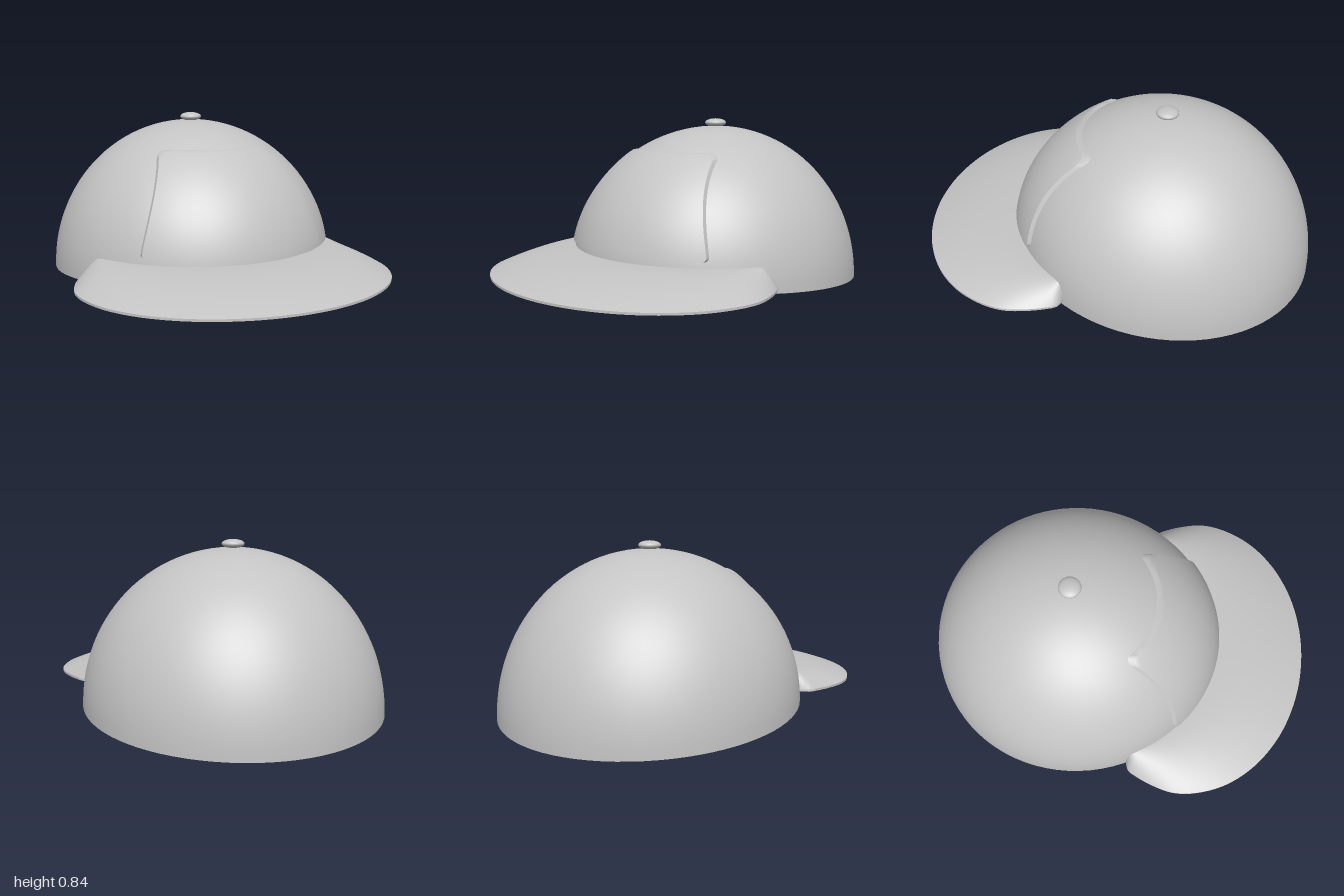
import * as THREE from 'three';
import { toCreasedNormals } from 'three/addons/utils/BufferGeometryUtils.js';

const RX = 0.725, RZ = 0.765, CZ = -0.235, TOP = 0.805;
const rimHeight = (z) => 0.053 + 0.069 * (z - CZ); // opening tilts up to the front

// Skin a surface over rows of points
function loft(sections, closed, crease) {
  const n = sections[0].length, index = [];
  const m = closed ? n : n - 1;
  for (let i = 0; i < sections.length - 1; i++) {
    for (let j = 0; j < m; j++) {
      const k = (j + 1) % n;
      const a = i * n + j, b = i * n + k, c = a + n, d = b + n;
      index.push(a, b, d, a, d, c);
    }
  }
  const geo = new THREE.BufferGeometry().setFromPoints(sections.flat());
  geo.setIndex(index);
  return toCreasedNormals(geo, crease);
}

// Thin-walled dome: unit shell stretched onto the tilted opening
function crownGeometry() {
  const profile = [], steps = 28;
  const arc = (r, k) => new THREE.Vector2(r * Math.cos(k), r * Math.sin(k));
  for (let i = 0; i <= steps; i++) profile.push(arc(0.975, (1 - i / steps) * Math.PI / 2));
  profile.push(new THREE.Vector2(0.988, -0.004));
  for (let i = 0; i <= steps; i++) profile.push(arc(1, (i / steps) * Math.PI / 2));
  profile[0].x = profile[profile.length - 1].x = 0;
  const geo = new THREE.LatheGeometry(profile, 80);
  const p = geo.attributes.position;
  for (let i = 0; i < p.count; i++) {
    const z = CZ + RZ * p.getZ(i), base = rimHeight(z);
    p.setXYZ(i, RX * p.getX(i), Math.max(0, base + (TOP - base) * p.getY(i)), z);
  }
  return toCreasedNormals(geo, 0.6);
}

// Point on the front of the dome, pushed out by a given amount
function onCrown(x, y, out) {
  let z = 0.3;
  for (let i = 0; i < 12; i++) {
    const base = rimHeight(z);
    const s = (y - base) / (TOP + out - base);
    const q = 1 - s * s - (x / (RX + out)) ** 2;
    z = CZ + (RZ + out) * Math.sqrt(Math.max(0, q));
  }
  return new THREE.Vector3(x, y, z);
}

// Raised front panel with rounded corners
function panelGeometry() {
  const y0 = 0.23, y1 = 0.69, rows = 26, cols = 32, sections = [];
  const corner = (d, r) => (d < r ? r - Math.sqrt(r * r - (r - d) ** 2) : 0);
  const row = (t, lift) => {
    const y = y0 + (y1 - y0) * t;
    const w = 0.457 - 0.175 * t ** 1.25 - corner(y - y0, 0.022) - corner(y1 - y, 0.035);
    const pts = [onCrown(-w, y, -0.008)];
    for (let j = 0; j <= cols; j++) pts.push(onCrown(w * (2 * j / cols - 1), y, lift));
    pts.push(onCrown(w, y, -0.008));
    return pts;
  };
  sections.push(row(0, -0.008));
  for (let i = 0; i <= rows; i++) sections.push(row((1 - Math.cos(Math.PI * i / rows)) / 2, 0.014));
  sections.push(row(1, -0.008));
  return loft(sections, false, 0.6);
}

// Crescent visor: flat below, bulging above, thin at the outer edge
function visorGeometry() {
  const half = [[0.64, 0.12], [0.685, 0.135], [0.712, 0.18], [0.747, 0.27], [0.77, 0.38],
    [0.755, 0.5], [0.69, 0.652], [0.57, 0.792], [0.4, 0.904], [0.2, 0.972]];
  const pts = [...half, [0, 0.993], ...half.map(([x, z]) => [-x, z]).reverse()];
  const outer = new THREE.CatmullRomCurve3(pts.map(([x, z]) => new THREE.Vector3(x, 0, z)));
  const segments = 112, steps = 14, start = 0.545, sections = [];
  for (let i = 0; i <= segments; i++) {
    const t = i / segments, a = start + (Math.PI - 2 * start) * t;
    const edge = outer.getPointAt(t);
    const inner = (k) => new THREE.Vector3(RX * k * Math.cos(a), 0, CZ + RZ * k * Math.sin(a));
    const from = inner(0.97), section = [inner(0.988).setY(0.106)];
    for (let j = 0; j <= steps; j++) {
      const s = Math.sin(j / steps * Math.PI / 2);
      section.push(from.clone().lerp(edge, s).setY(0.116 + 0.088 * (1 - s * s)));
    }
    section.push(edge.clone().setY(0.105));
    sections.push(section);
  }
  // close both ends
  const cap = (section) => {
    const c = new THREE.Vector3();
    section.forEach((p) => c.add(p));
    c.divideScalar(section.length);
    return section.map(() => c.clone());
  };
  sections.unshift(cap(sections[0]));
  sections.push(cap(sections[sections.length - 1]));
  return loft(sections, true, 0.6);
}

export function createModel() {
  const group = new THREE.Group();
  group.name = 'cap';
  const fabric = new THREE.MeshStandardMaterial({ color: 0xc4c4c4, side: THREE.DoubleSide });
  fabric.name = 'light grey fabric';
  const add = (name, geo) => {
    const mesh = new THREE.Mesh(geo, fabric);
    mesh.name = name;
    group.add(mesh);
    return mesh;
  };
  add('crown', crownGeometry());
  add('frontPanel', panelGeometry());
  add('visor', visorGeometry());

  // Button on top
  const button = add('topButton', new THREE.SphereGeometry(0.055, 32, 16));
  button.scale.y = 0.4;
  button.position.set(0, 0.822, CZ);
  return group;
}
